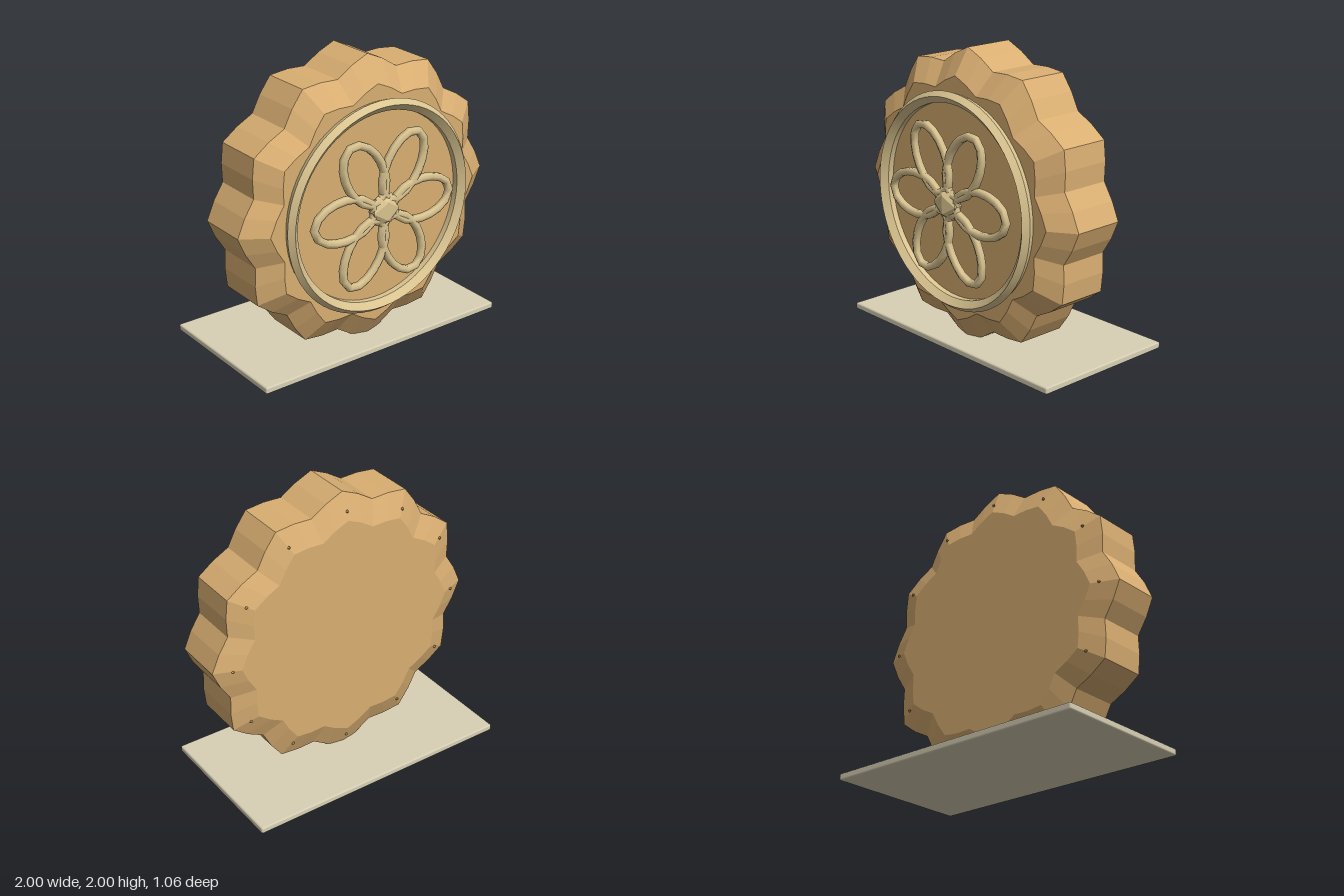
import * as THREE from 'three';
import { toCreasedNormals } from 'three/addons/utils/BufferGeometryUtils.js';
import { RoundedBoxGeometry } from 'three/addons/geometries/RoundedBoxGeometry.js';

const LOBES = 12;
const CENTER_Y = 1.002;

function material(name, color) {
  const m = new THREE.MeshStandardMaterial({ color });
  m.name = name;
  return m;
}

function mesh(name, geometry, mat, parent) {
  const m = new THREE.Mesh(geometry, mat);
  m.name = name;
  parent.add(m);
  return m;
}

// Scalloped, bevelled disc lofted through scaled outlines
function scallopedDisc() {
  const n = LOBES * 4;
  const sections = [[0, -0.12], [0.82, -0.12], [1, -0.05], [1, 0.3], [0.83, 0.41], [0, 0.41]];
  const positions = [];
  const index = [];
  for (const [scale, z] of sections) {
    for (let i = 0; i < n; i++) {
      const a = (i / n) * Math.PI * 2;
      const r = scale * (0.953 + 0.047 * Math.cos(LOBES * a));
      positions.push(r * Math.cos(a), r * Math.sin(a), z);
    }
  }
  for (let s = 0; s < sections.length - 1; s++) {
    for (let i = 0; i < n; i++) {
      const j = (i + 1) % n;
      const a = s * n + i, b = s * n + j, c = a + n, d = b + n;
      if (s > 0) index.push(a, b, c);
      if (s < sections.length - 2) index.push(b, d, c);
      if (s === 0) index.push(b, d, c);
    }
  }
  const g = new THREE.BufferGeometry();
  g.setAttribute('position', new THREE.Float32BufferAttribute(positions, 3));
  g.setIndex(index);
  const flat = g.toNonIndexed();
  flat.computeVertexNormals();
  return flat;
}

// Raised rim with a ridge, turned about the z axis
function rimRing() {
  const profile = [[0.655, 0.405], [0.715, 0.405], [0.732, 0.45], [0.7, 0.49], [0.655, 0.45], [0.655, 0.405]]
    .map(([r, z]) => new THREE.Vector2(r, z));
  const g = new THREE.LatheGeometry(profile, 64);
  g.rotateX(Math.PI / 2);
  return toCreasedNormals(g, 0.4);
}

// Closed elliptical loop lying along +x
function petalLoop() {
  const points = [];
  for (let i = 0; i < 14; i++) {
    const a = (i / 14) * Math.PI * 2;
    points.push(new THREE.Vector3(0.313 + 0.24 * Math.cos(a), 0.142 * Math.sin(a), 0));
  }
  return new THREE.TubeGeometry(new THREE.CatmullRomCurve3(points, true), 16, 0.029, 6, true);
}

export function createModel() {
  const model = new THREE.Group();
  model.name = 'scallopedCakeOnBase';

  const crust = material('golden crust', 0xd9ae72);
  const trim = material('pale pastry', 0xdac490);
  const stone = material('base beige', 0xd8d0b5);

  // Base plate
  mesh('basePlate', new RoundedBoxGeometry(1.934, 0.047, 1.06, 1, 0.012), stone, model)
    .position.y = 0.0235;

  const cake = new THREE.Group();
  cake.name = 'cake';
  cake.position.y = CENTER_Y;
  model.add(cake);

  mesh('body', scallopedDisc(), crust, cake);
  mesh('rimRing', rimRing(), trim, cake);

  // Flower relief
  const flower = new THREE.Group();
  flower.name = 'flower';
  flower.position.z = 0.483;
  cake.add(flower);
  const petal = petalLoop();
  for (let i = 0; i < 6; i++) {
    mesh('petal', petal, trim, flower).rotation.z = (i * Math.PI) / 3;
  }
  const hub = new THREE.IcosahedronGeometry(0.12, 0);
  hub.scale(1, 1, 0.5);
  hub.computeVertexNormals();
  mesh('flowerCenter', hub, trim, flower);

  // Tiny studs on the rear bevel, one per lobe
  const stud = new THREE.OctahedronGeometry(0.013, 0);
  for (let i = 0; i < LOBES; i++) {
    const a = (i / LOBES) * Math.PI * 2;
    mesh('rearStud', stud, crust, cake)
      .position.set(0.88 * Math.cos(a), 0.88 * Math.sin(a), -0.105);
  }
  return model;
}
